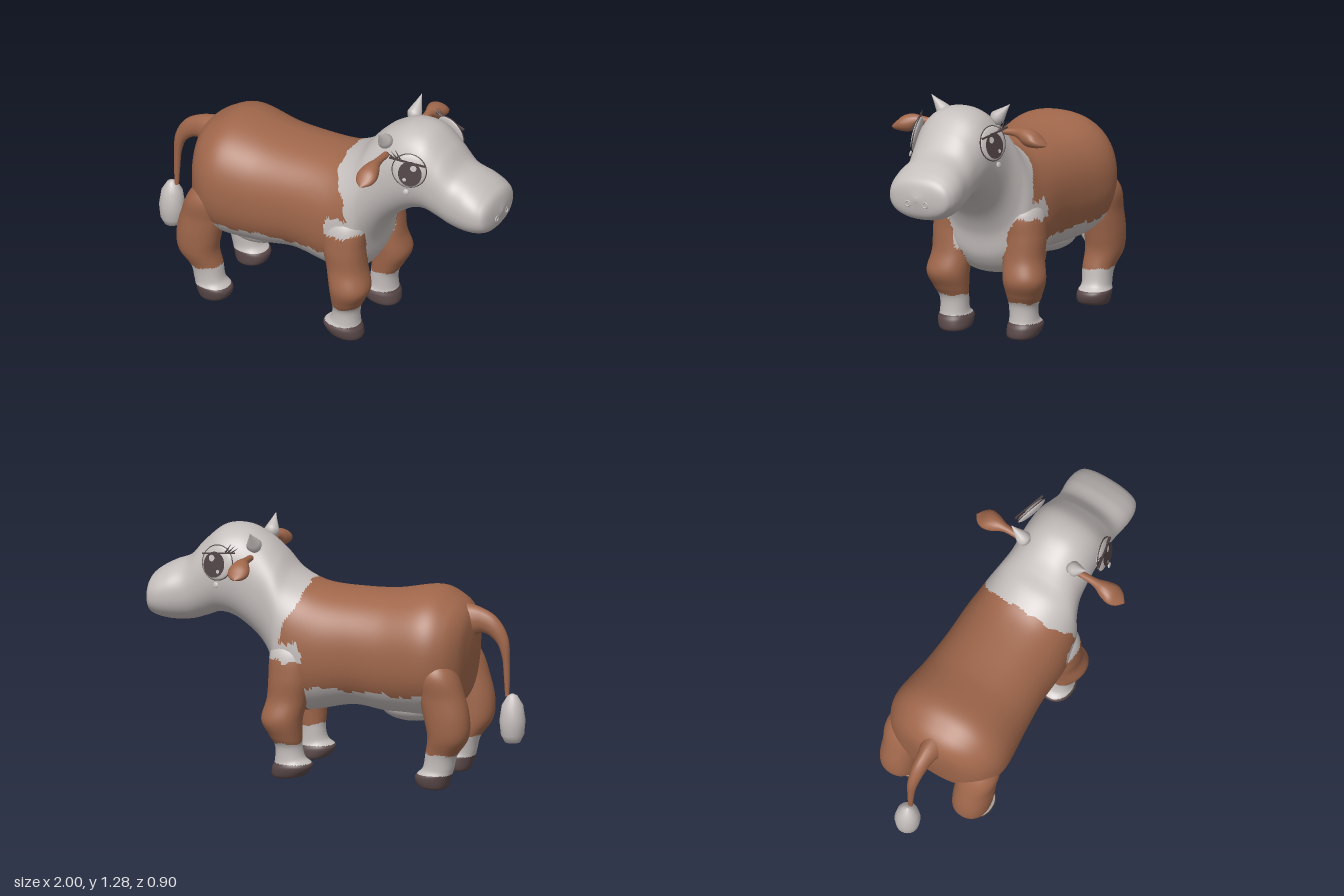
import * as THREE from 'three';

const mat = (name, color) => Object.assign(new THREE.MeshStandardMaterial({ color }), { name });
const brown = mat('brown coat', 0xa0674b);
const white = mat('pale coat', 0xc4bebc);
const hoofDark = mat('hoof', 0x5a4849);
const eyeDark = mat('eye dark', 0x4c3f40);
const MATS = [brown, white, hoofDark];
const BROWN = 0, WHITE = 1, HOOF = 2;

// Smooth skin through elliptical rings. Each station: [ax, ay, bx, by, halfWidth, zCentre]
// where a and b are opposite rim points in the xy plane. paint(x, y, z) picks the material.
function loft(name, stations, segs, sides, power, paint) {
  const a = new THREE.CatmullRomCurve3(stations.map(s => new THREE.Vector3(s[0], s[1], s[5] || 0)), false, 'catmullrom', 0.5);
  const b = new THREE.CatmullRomCurve3(stations.map(s => new THREE.Vector3(s[2], s[3], s[4])), false, 'catmullrom', 0.5);
  const round = v => Math.sign(v) * Math.pow(Math.abs(v), 2 / power);
  const pos = [];
  for (let i = 0; i <= segs; i++) {
    const p = a.getPoint(i / segs), q = b.getPoint(i / segs);
    for (let j = 0; j < sides; j++) {
      const th = (j / sides) * Math.PI * 2, s = round(Math.sin(th)) / 2, c = round(Math.cos(th));
      pos.push((p.x + q.x) / 2 + (p.x - q.x) * s, (p.y + q.y) / 2 + (p.y - q.y) * s, p.z + Math.max(q.z, 0) * c);
    }
  }
  const lists = MATS.map(() => []);
  const face = (...v) => {
    const mid = k => (pos[v[0] * 3 + k] + pos[v[1] * 3 + k] + pos[v[2] * 3 + k]) / 3;
    lists[paint(mid(0), mid(1), mid(2))].push(...v);
  };
  for (let i = 0; i < segs; i++) {
    for (let j = 0; j < sides; j++) {
      const k = (j + 1) % sides, r = i * sides, t = r + sides;
      face(r + j, t + j, r + k);
      face(t + j, t + k, r + k);
    }
  }
  const g = new THREE.BufferGeometry();
  g.setAttribute('position', new THREE.Float32BufferAttribute(pos, 3));
  g.setIndex(lists.flat());
  let start = 0;
  lists.forEach((l, m) => { if (l.length) g.addGroup(start, l.length, m); start += l.length; });
  g.computeVertexNormals();
  const mesh = new THREE.Mesh(g, MATS);
  mesh.name = name;
  return mesh;
}

// Coat pattern: pale head, neck, chest and belly, brown saddle and shoulders
function coat(x, y, z) {
  const w = 0.008 * Math.sin(41 * y + 23 * x) + 0.006 * Math.sin(67 * x + 50 * z);
  if (x > -0.56 + w && x < 0.12 && y < 0.5 + w) return WHITE;
  if (y > 0.73 + w) return x > 0.12 + (1.02 - y) * 0.42 + w ? WHITE : BROWN;
  if (y > 0.64 + w) return x > 0.12 + w ? WHITE : BROWN;
  return x > 0.1 && Math.abs(z) < 0.1 + (y - 0.35) * 0.32 + w ? WHITE : BROWN;
}
const legCoat = (x, y, z) => {
  if (y < 0.09) return HOOF;
  if (y < 0.2 + 0.006 * Math.sin(60 * x + 40 * z)) return WHITE;
  return x > 0 && y > 0.45 ? coat(Math.max(x, 0.13), y, z) : BROWN;
};

const BODY = [
  [-0.74, 0.72, -0.74, 0.70, 0.0], [-0.735, 0.84, -0.715, 0.55, 0.1],
  [-0.71, 0.92, -0.69, 0.45, 0.21], [-0.64, 0.98, -0.63, 0.40, 0.295],
  [-0.52, 1.02, -0.52, 0.36, 0.335], [-0.30, 0.985, -0.30, 0.36, 0.31],
  [-0.10, 0.98, -0.12, 0.38, 0.295], [0.05, 0.99, 0.08, 0.34, 0.295],
  [0.14, 1.02, 0.20, 0.33, 0.285], [0.22, 1.07, 0.28, 0.42, 0.265],
  [0.29, 1.15, 0.31, 0.56, 0.235], [0.37, 1.22, 0.38, 0.68, 0.21],
  [0.48, 1.27, 0.50, 0.78, 0.205], [0.60, 1.26, 0.60, 0.81, 0.20],
  [0.70, 1.18, 0.68, 0.785, 0.185], [0.78, 1.09, 0.76, 0.76, 0.18],
  [0.87, 1.05, 0.86, 0.755, 0.19], [0.94, 1.01, 0.94, 0.77, 0.18],
  [0.98, 0.97, 0.98, 0.80, 0.14], [1.0, 0.89, 1.0, 0.88, 0.0],
];
const FRONT_LEG = [
  [0.20, 0.78, 0.18, 0.78, 0.01, 0.20], [0.29, 0.68, 0.09, 0.68, 0.09, 0.20],
  [0.30, 0.55, 0.08, 0.55, 0.10, 0.21], [0.31, 0.43, 0.10, 0.43, 0.105, 0.205],
  [0.335, 0.32, 0.125, 0.32, 0.11, 0.22], [0.30, 0.24, 0.13, 0.22, 0.09, 0.21],
  [0.27, 0.18, 0.13, 0.17, 0.075, 0.20], [0.27, 0.10, 0.115, 0.115, 0.075, 0.20],
  [0.285, 0.06, 0.075, 0.08, 0.088, 0.20], [0.285, 0.015, 0.10, 0.035, 0.08, 0.195],
  [0.25, 0.005, 0.13, 0.02, 0.055, 0.195], [0.19, 0.01, 0.19, 0.01, 0, 0.195],
];
const REAR_LEG = [
  [-0.55, 0.78, -0.57, 0.78, 0.01, 0.20], [-0.50, 0.64, -0.69, 0.64, 0.10, 0.22],
  [-0.51, 0.50, -0.745, 0.50, 0.10, 0.22], [-0.535, 0.38, -0.77, 0.38, 0.10, 0.22],
  [-0.55, 0.29, -0.76, 0.28, 0.095, 0.215], [-0.535, 0.20, -0.70, 0.19, 0.08, 0.20],
  [-0.52, 0.12, -0.68, 0.115, 0.075, 0.20], [-0.48, 0.075, -0.67, 0.08, 0.086, 0.20],
  [-0.49, 0.03, -0.65, 0.02, 0.08, 0.195], [-0.52, 0.015, -0.62, 0.01, 0.055, 0.195],
  [-0.57, 0.015, -0.57, 0.015, 0, 0.195],
];
const TAIL = [
  [-0.70, 0.76, -0.66, 0.95, 0.07], [-0.78, 0.795, -0.76, 0.93, 0.045],
  [-0.85, 0.75, -0.85, 0.88, 0.035], [-0.88, 0.67, -0.91, 0.78, 0.025],
  [-0.888, 0.58, -0.92, 0.64, 0.018], [-0.895, 0.47, -0.918, 0.47, 0.013],
];
const EAR = [
  [0.17, 1.155, 0.17, 1.125, 0.018], [0.27, 1.165, 0.27, 1.12, 0.022],
  [0.33, 1.17, 0.33, 1.08, 0.045], [0.38, 1.155, 0.38, 1.075, 0.055],
  [0.42, 1.12, 0.42, 1.08, 0.038], [0.45, 1.09, 0.45, 1.09, 0],
];

// Eye lies in its own plane facing out; s flips it for the other side
function eye(s) {
  const g = new THREE.Group();
  const put = (name, geo, m, x, y, z, rot = 0, sx = 1, sy = 1, sz = 1) => {
    const mesh = new THREE.Mesh(geo, m);
    mesh.name = name;
    mesh.position.set(x * s, y, z);
    mesh.rotation.z = rot * s;
    mesh.scale.set(sx, sy, sz);
    g.add(mesh);
  };
  put('eyeball', new THREE.SphereGeometry(0.09, 32, 20), white, 0, 0, 0, 0, 1, 1, 0.22);
  put('eyeRim', new THREE.TorusGeometry(0.09, 0.003, 6, 48), eyeDark, 0, 0, 0.002);
  put('iris', new THREE.CircleGeometry(0.062, 32), eyeDark, 0.008, -0.012, 0.021, 0, 1, 1.08);
  put('bigGlint', new THREE.CircleGeometry(0.017, 16), white, 0.025, 0.02, 0.023);
  put('smallGlint', new THREE.CircleGeometry(0.01, 16), white, -0.02, -0.045, 0.023);
  put('upperLid', new THREE.BoxGeometry(0.19, 0.008, 0.012), eyeDark, -0.01, 0.05, 0.018, -0.14);
  for (let i = 0; i < 3; i++) {
    put('eyelash', new THREE.ConeGeometry(0.005, 0.06, 6), eyeDark, -0.1 + i * 0.018, 0.075 + i * 0.005, 0.014, 0.95 - i * 0.2);
  }
  put('tear', new THREE.SphereGeometry(0.016, 16, 10), white, -0.01, -0.115, 0.012, 0, 1, 1, 0.4);
  g.name = s > 0 ? 'leftSideEye' : 'rightSideEye';
  g.position.set(0.575, 1.115, 0.218 * s);
  g.lookAt(0.575 + 0.28, 1.115 + 0.22, 0.218 * s + s);
  return g;
}

export function createModel() {
  const cow = new THREE.Group();
  cow.name = 'cow';
  const add = (name, geo, m) => {
    const mesh = new THREE.Mesh(geo, m);
    mesh.name = name;
    cow.add(mesh);
    return mesh;
  };
  const lathe = (pts, n = 24) => new THREE.LatheGeometry(pts.map(p => new THREE.Vector2(...p)), n);

  cow.add(loft('body', BODY, 190, 96, 2.25, coat));
  cow.add(loft('tail', TAIL, 40, 16, 2, () => BROWN));

  const udder = add('udder', new THREE.SphereGeometry(1, 32, 20), white);
  udder.scale.set(0.18, 0.09, 0.16);
  udder.position.set(-0.41, 0.4, 0);

  const tuft = add('tailTuft', lathe([[0, 0], [0.04, 0.006], [0.06, 0.045], [0.067, 0.12], [0.055, 0.2], [0.025, 0.25], [0, 0.262]]), white);
  tuft.position.set(-0.934, 0.225, 0);

  for (const s of [1, -1]) {
    const mirrored = list => list.map(p => [...p.slice(0, 5), p[5] * s]);
    cow.add(loft('frontLeg', mirrored(FRONT_LEG), 84, 40, 2.2, legCoat));
    cow.add(loft('rearLeg', mirrored(REAR_LEG), 84, 40, 2.2, legCoat));

    const ear = loft('ear', EAR, 30, 20, 2, () => BROWN);
    ear.rotation.y = -s * Math.PI / 2;
    ear.position.x = 0.415;
    cow.add(ear);

    // Horns lean outward
    const horn = add('horn', lathe([[0, -0.03], [0.03, -0.02], [0.04, 0.005], [0.032, 0.03], [0.014, 0.075], [0, 0.115]]), white);
    horn.position.set(0.4, 1.2, 0.15 * s);
    horn.rotation.x = s * 0.75;

    cow.add(eye(s));

    const nostril = add('nostril', new THREE.TorusGeometry(0.014, 0.004, 8, 20), white);
    nostril.position.set(0.993, 0.86, 0.05 * s);
    nostril.rotation.y = Math.PI / 2;
  }
  return cow;
}
